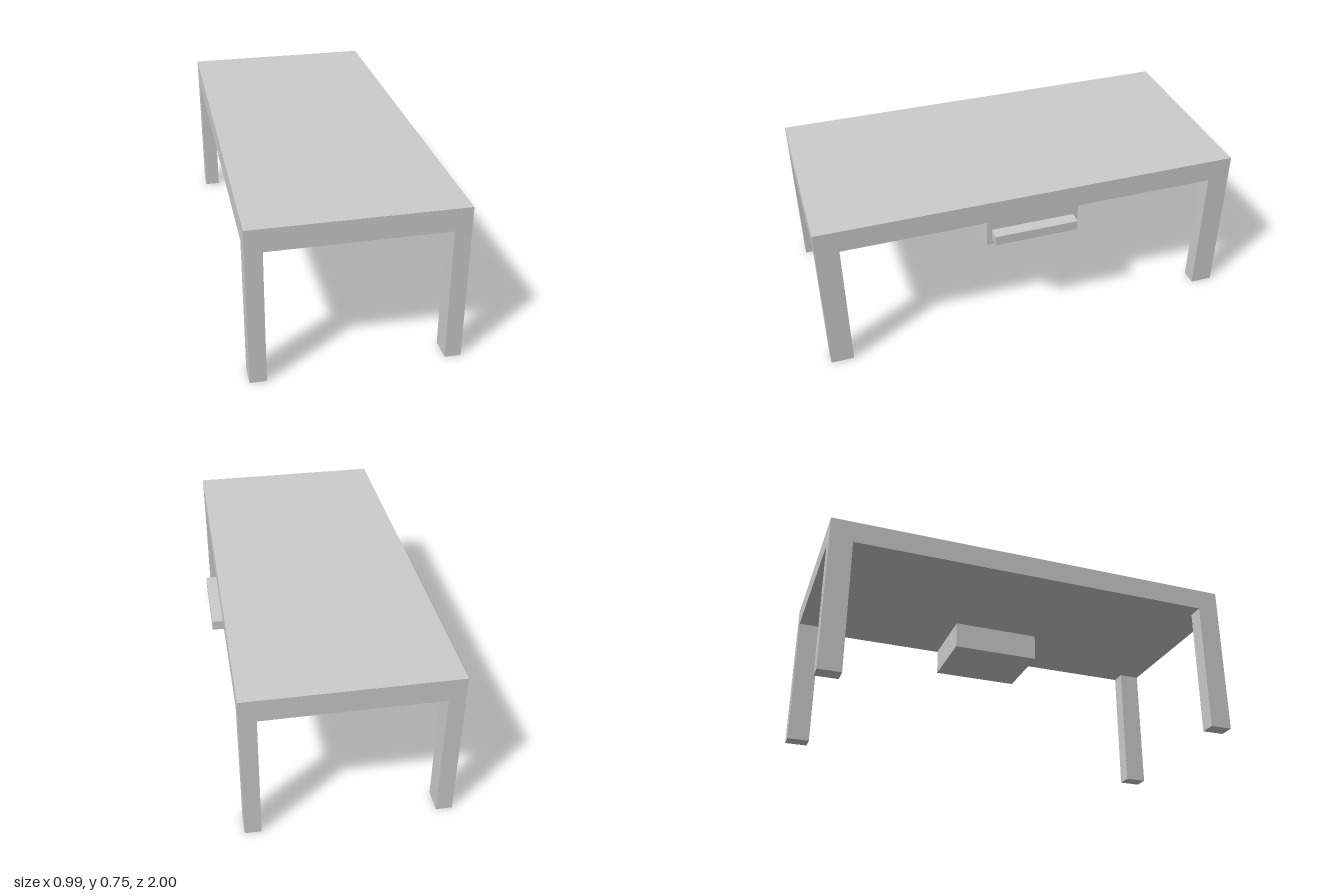
import * as THREE from 'three';

const material = new THREE.MeshStandardMaterial({ color: 0xcccccc, flatShading: true });

// Box given by its [min, max] extent on each axis
function box(name, [x0, x1], [y0, y1], [z0, z1]) {
  const mesh = new THREE.Mesh(new THREE.BoxGeometry(x1 - x0, y1 - y0, z1 - z0), material);
  mesh.name = name;
  mesh.position.set((x0 + x1) / 2, (y0 + y1) / 2, (z0 + z1) / 2);
  return mesh;
}

export function createModel() {
  const table = new THREE.Group();
  table.name = 'table';
  const left = 0.45, right = -0.497, under = 0.644;
  const legX = 0.075, legZ = 0.107;

  // Thick top slab
  table.add(box('tableTop', [right, left], [under, 0.75], [-1, 1]));

  // Four legs flush with the corners
  for (const [side, xs] of [['Left', [left - legX, left]], ['Right', [right, right + legX]]]) {
    table.add(box('front' + side + 'Leg', xs, [0, under], [1 - legZ, 1]));
    table.add(box('back' + side + 'Leg', xs, [0, under], [-1, -1 + legZ]));
  }

  // Drawer hung under the long side, with its bar handle
  const drawerFront = 0.438;
  const drawer = new THREE.Group();
  drawer.name = 'drawer';
  drawer.add(box('drawerBox', [0.085, drawerFront], [0.509, under], [-0.222, 0.222]));
  drawer.add(box('drawerHandle', [drawerFront, 0.497], [0.545, 0.591], [-0.199, 0.199]));
  table.add(drawer);

  return table;
}
